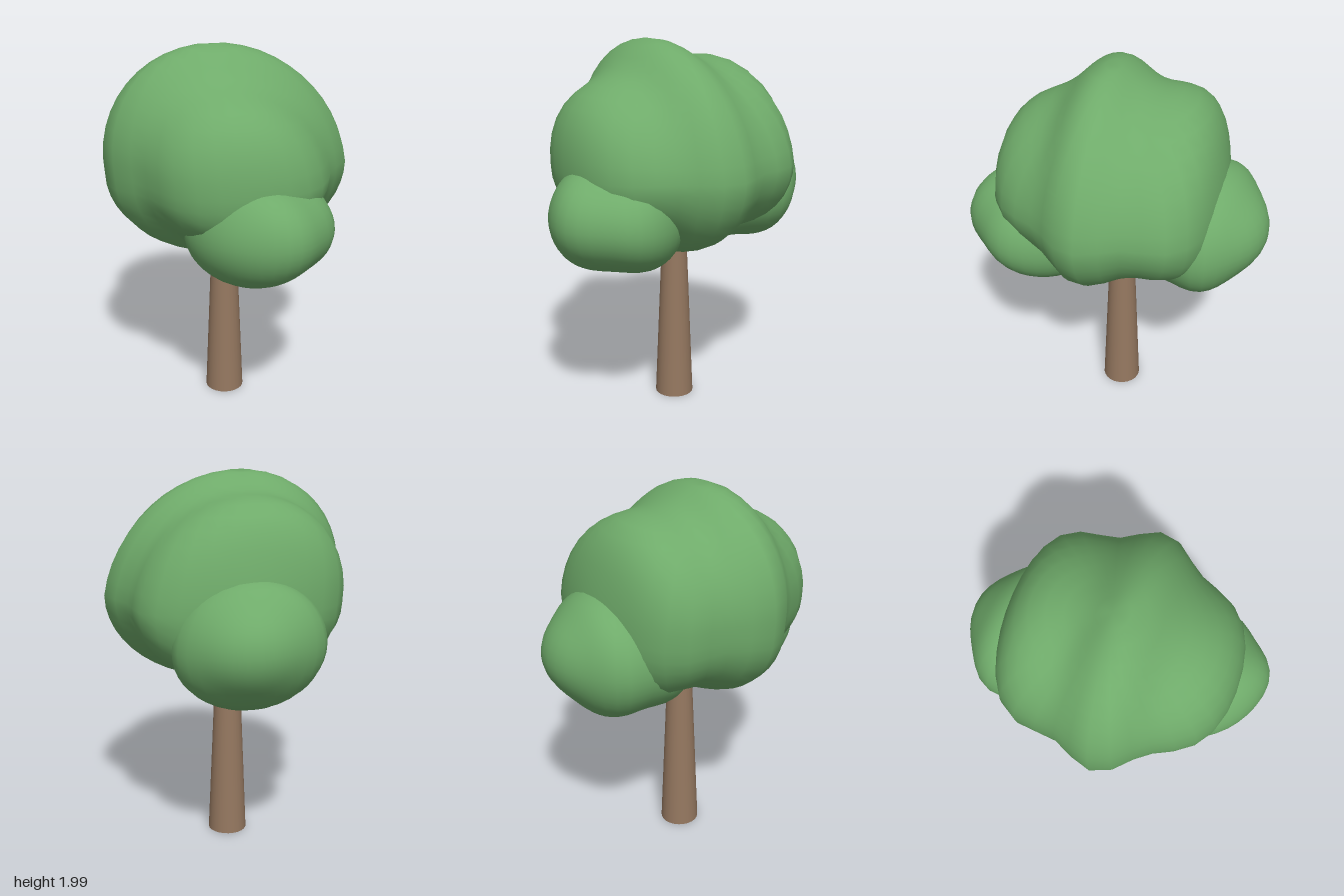
import * as THREE from 'three';
import { mergeVertices } from 'three/addons/utils/BufferGeometryUtils.js';

const leaf = new THREE.MeshStandardMaterial({ color: 0x6fab6a });
const bark = new THREE.MeshStandardMaterial({ color: 0x957860, side: THREE.DoubleSide });

// Leaf mass: a rounded egg, swollen into soft ridges by a cosine wave running along `dir`.
// `lean` tilts it up along x and z, `drift` carries its upper half sideways.
function leafMass(name, { center, radius, lower, dir, period, crest, amp, lean = [0, 0], drift = [0, 0] }) {
  const sphere = new THREE.SphereGeometry(1, 36, 24);
  sphere.deleteAttribute('uv');
  sphere.deleteAttribute('normal');
  const geo = mergeVertices(sphere, 1e-4);
  const pos = geo.attributes.position;
  const p = new THREE.Vector3();
  for (let i = 0; i < pos.count; i++) {
    p.fromBufferAttribute(pos, i);
    p.set(p.x * radius[0], p.y * (p.y < 0 ? lower : radius[1]), p.z * radius[2]);
    const along = p.x * dir[0] + p.z * dir[1];
    p.multiplyScalar(1 + amp * Math.cos((2 * Math.PI * (along - crest)) / period));
    const rise = Math.max(0, p.y);
    p.y += lean[0] * p.x + lean[1] * p.z;
    p.x += drift[0] * rise;
    p.z += drift[1] * rise;
    pos.setXYZ(i, p.x, p.y, p.z);
  }
  geo.computeVertexNormals();
  const mesh = new THREE.Mesh(geo, leaf);
  mesh.name = name;
  mesh.position.set(...center);
  return mesh;
}

export function createModel() {
  const tree = new THREE.Group();
  tree.name = 'tree';

  // Tapered trunk, open at both ends, reaching into the crown
  const trunk = new THREE.Mesh(new THREE.CylinderGeometry(0.06, 0.105, 1.1, 24, 1, true), bark);
  trunk.name = 'trunk';
  trunk.position.set(-0.025, 0.55, 0.005);
  tree.add(trunk);

  // Large crown with diagonal ridges
  tree.add(leafMass('crown', {
    center: [-0.008, 1.36, 0.01], radius: [0.605, 0.6, 0.608], lower: 0.45,
    dir: [-0.827, -0.587], period: 0.49, crest: -0.08, amp: 0.062, drift: [-0.07, 0.12],
  }));

  // Lower leaf clump at the front, on the left side
  tree.add(leafMass('leftLeafClump', {
    center: [0.37, 1.115, 0.19], radius: [0.37, 0.295, 0.35], lower: 0.27,
    dir: [0.1, 0.99], period: 0.4, crest: 0.18, amp: 0.04, lean: [0.07, 0.04],
  }));

  // Lower leaf clump at the back, on the right side
  tree.add(leafMass('rightLeafClump', {
    center: [-0.36, 1.185, -0.225], radius: [0.37, 0.335, 0.385], lower: 0.315,
    dir: [-0.707, -0.707], period: 0.35, crest: 0.12, amp: 0.04, lean: [-0.08, -0.02],
  }));

  return tree;
}
